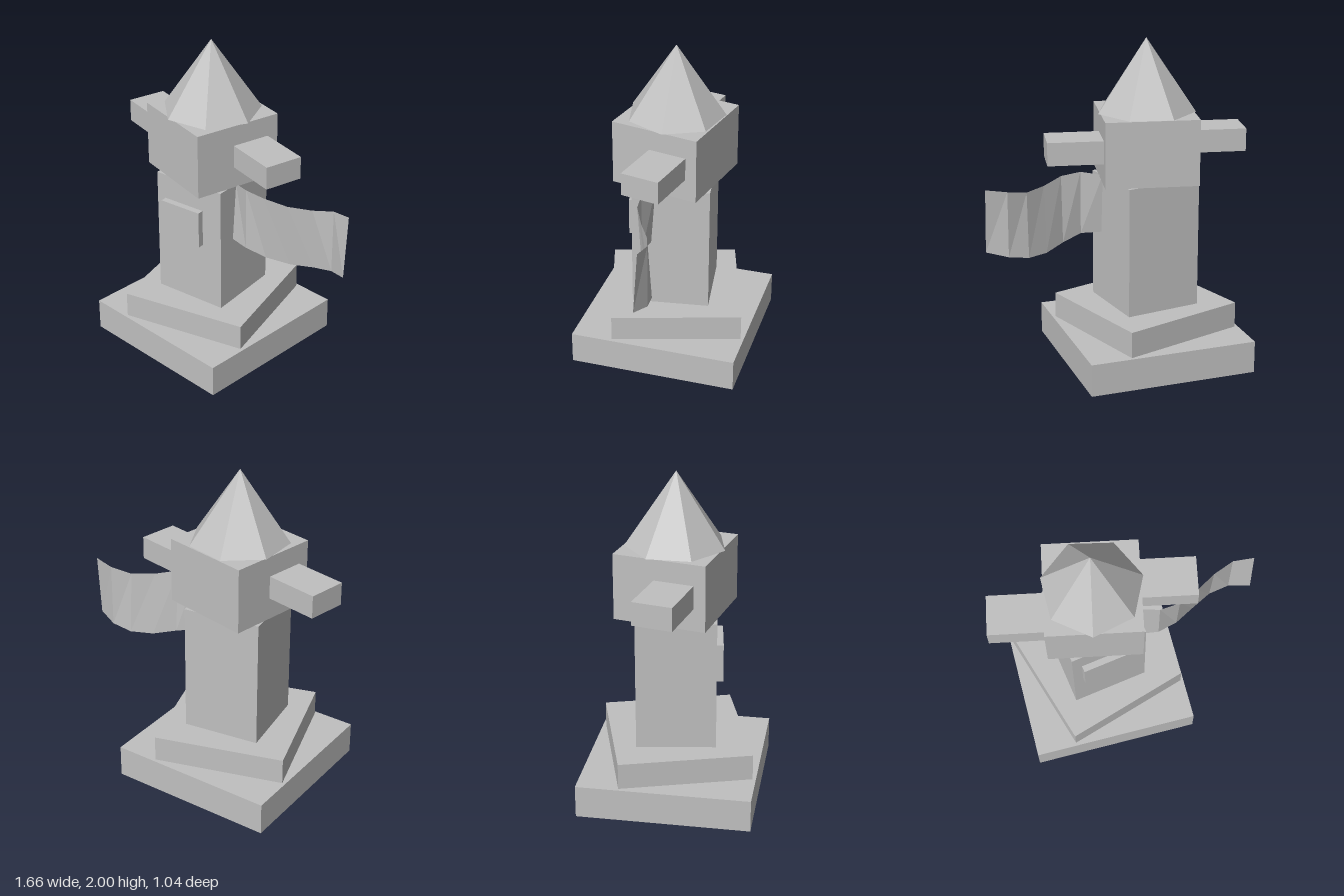
import * as THREE from 'three';

export function createModel() {
  const model = new THREE.Group();
  model.name = 'tower';

  const stone = new THREE.MeshStandardMaterial({ color: 0xc0c0c0, flatShading: true, side: THREE.DoubleSide });
  stone.name = 'grey stone';

  const AXIS = -0.19; // x of the tower's centre line

  function add(name, geometry, x, y, z, turn = 0) {
    const mesh = new THREE.Mesh(geometry, stone);
    mesh.name = name;
    mesh.position.set(x, y, z);
    mesh.rotation.y = turn;
    model.add(mesh);
    return mesh;
  }
  const box = (name, size, x, y, z, turn) => add(name, new THREE.BoxGeometry(...size), x, y, z, turn);

  // Stacked body, each block twisted by a different amount
  box('base', [1.04, 0.2, 1.04], AXIS, 0.1, 0, 0);
  box('step', [0.8, 0.16, 0.8], AXIS, 0.28, 0, 0.3);
  box('column', [0.475, 0.8, 0.475], AXIS, 0.76, 0, 0.15);
  box('head', [0.56, 0.4, 0.56], AXIS, 1.36, 0, -0.2);

  // Front plaque
  box('plaque', [0.28, 0.235, 0.06], AXIS, 0.883, 0.25, 0.15);

  // Side arms
  for (const side of [-1, 1]) {
    box(side > 0 ? 'leftArm' : 'rightArm', [0.34, 0.14, 0.24], AXIS + side * 0.45, 1.364, 0, -0.2);
  }

  // Seven-sided pointed roof
  add('roof', new THREE.ConeGeometry(0.3, 0.44, 7), AXIS, 1.78, 0, Math.PI / 2);

  // Waving flag: a strip between a top and a bottom edge
  const topY = [1.167, 1.187, 1.177, 1.146, 1.14, 1.167, 1.186];
  const bottomY = [0.797, 0.797, 0.765, 0.738, 0.743, 0.767, 0.797];
  const wave = (x, zero) => -0.1 * Math.sin(6.3 * (x - zero));
  const points = [];
  const index = [];
  topY.forEach((y, i) => {
    const x = 0.065 + i * 0.1267;
    points.push(x, y, wave(x, 0.475), x, bottomY[i], wave(x, 0.415));
    if (i > 0) {
      const a = 2 * (i - 1);
      index.push(a, a + 1, a + 3, a, a + 3, a + 2);
    }
  });
  const flag = new THREE.BufferGeometry();
  flag.setAttribute('position', new THREE.Float32BufferAttribute(points, 3));
  flag.setIndex(index);
  flag.computeVertexNormals();
  add('flag', flag, 0, 0, 0);

  return model;
}
